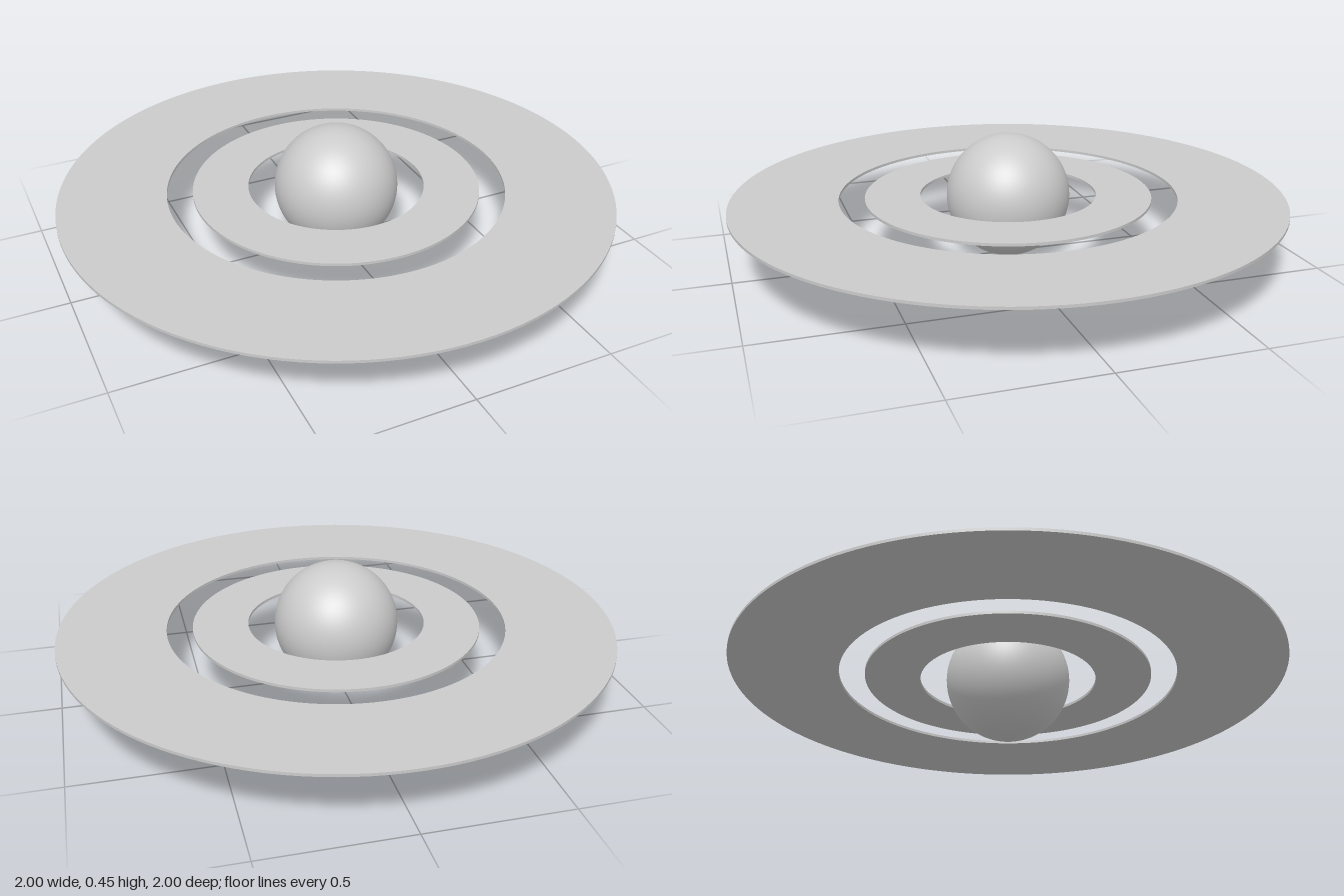
import * as THREE from 'three';
import { toCreasedNormals } from 'three/addons/utils/BufferGeometryUtils.js';

const RADIUS = 0.224;
const HALF_THICKNESS = 0.005;

export function createModel() {
  const model = new THREE.Group();
  model.name = 'ringedPlanet';
  const material = new THREE.MeshStandardMaterial({ color: 0xcccccc });

  const add = (name, geometry) => {
    const mesh = new THREE.Mesh(geometry, material);
    mesh.name = name;
    mesh.position.y = RADIUS;
    model.add(mesh);
  };

  // Flat ring with a thin rectangular section, turned around the vertical axis
  const ring = (inner, outer) => {
    const h = HALF_THICKNESS;
    const section = [[outer, -h], [outer, h], [inner, h], [inner, -h], [outer, -h]]
      .map(([x, y]) => new THREE.Vector2(x, y));
    return toCreasedNormals(new THREE.LatheGeometry(section, 128), Math.PI / 6);
  };

  // Smooth globe
  add('planet', new THREE.SphereGeometry(RADIUS, 64, 48));

  // Two concentric rings at the equator
  add('innerRing', ring(0.32, 0.52));
  add('outerRing', ring(0.613, 1));

  return model;
}
